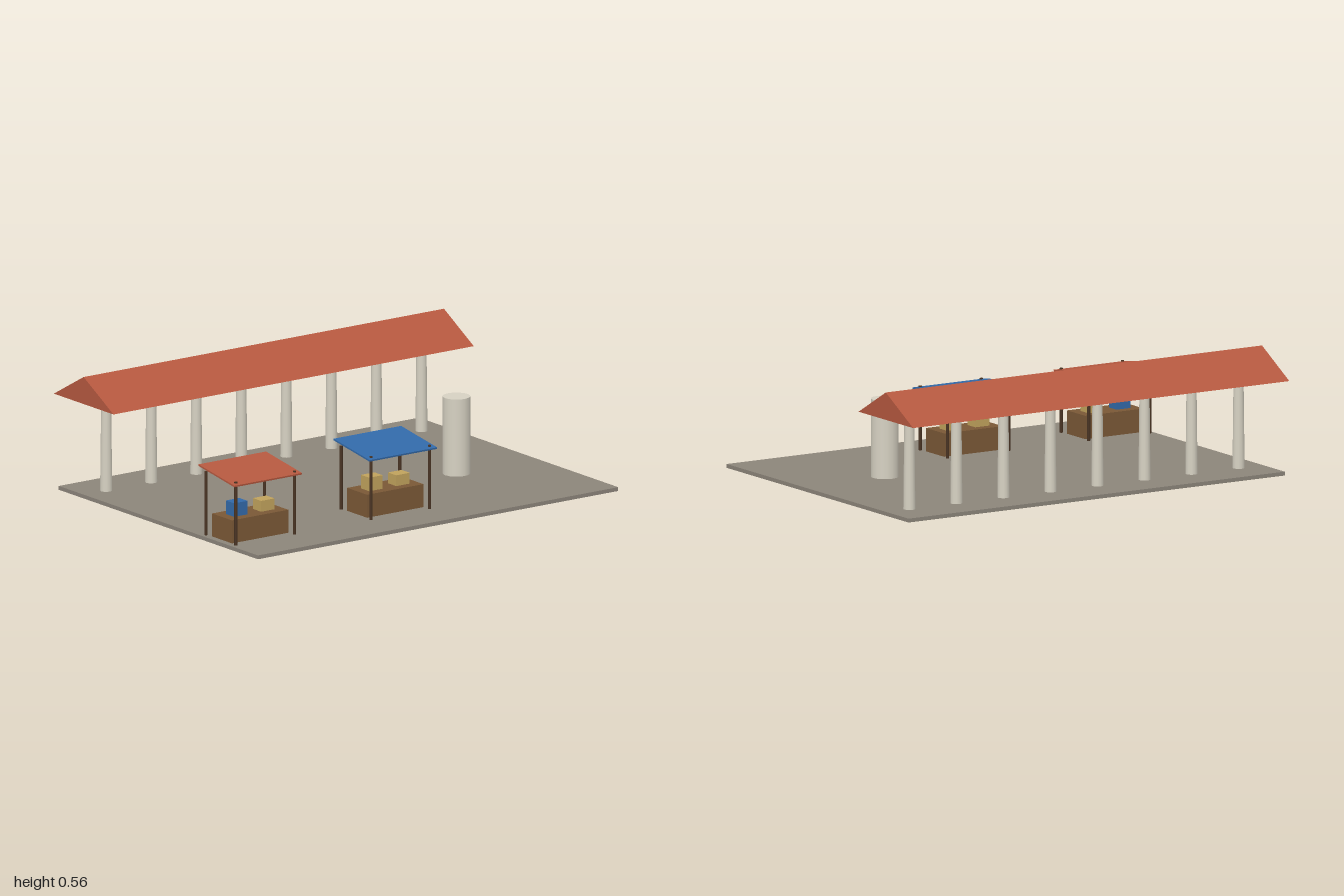
import * as THREE from 'three';

const mat = (name, color) => {
  const m = new THREE.MeshStandardMaterial({ color });
  m.name = name;
  return m;
};

export function createModel() {
  const paving = mat('paving grey', 0x8c857a);
  const stone = mat('pale stone', 0xd6d1c2);
  const terracotta = mat('terracotta', 0xb5583f);
  const blue = mat('cloth blue', 0x3269a8);
  const wood = mat('counter wood', 0x7a5836);
  const darkWood = mat('dark post wood', 0x4a3423);
  const straw = mat('crate straw', 0xc0a25c);

  const model = new THREE.Group();
  model.name = 'marketSquare';

  const add = (parent, name, geometry, material, x, y, z) => {
    const mesh = new THREE.Mesh(geometry, material);
    mesh.name = name;
    mesh.position.set(x, y, z);
    parent.add(mesh);
    return mesh;
  };
  // box standing on height y
  const box = (parent, name, w, h, d, material, x, y, z) =>
    add(parent, name, new THREE.BoxGeometry(w, h, d), material, x, y + h / 2, z);

  // paved ground, a hair above the feet of the stalls and pillar
  box(model, 'ground', 2, 0.0177, 1.5, paving, 0, 0.001, 0.02);

  // colonnade: tapered columns under a long gabled roof
  const colonnade = new THREE.Group();
  colonnade.name = 'colonnade';
  colonnade.position.z = -0.5425;
  model.add(colonnade);
  const columnGeometry = new THREE.CylinderGeometry(0.0225, 0.0275, 0.43, 12);
  for (let i = 0; i < 8; i++) {
    add(colonnade, 'column', columnGeometry, stone, -0.875 + i * 0.25, 0.2225, 0);
  }
  const gable = new THREE.Shape();
  gable.moveTo(-0.225, 0);
  gable.lineTo(0.225, 0);
  gable.lineTo(0, 0.125);
  gable.closePath();
  const roofGeometry = new THREE.ExtrudeGeometry(gable, { depth: 2, bevelEnabled: false });
  roofGeometry.rotateY(Math.PI / 2);
  add(colonnade, 'roof', roofGeometry, terracotta, -1, 0.4375, 0);

  // free-standing round pillar
  add(model, 'pillar', new THREE.CylinderGeometry(0.0625, 0.0625, 0.375, 16),
    stone, 0.5625, 0.1875, 0.145);

  // market stalls
  const postGeometry = new THREE.CylinderGeometry(0.0075, 0.0075, 0.3125, 6);
  const addStall = (name, x, canopyMaterial, tallCrateMaterial) => {
    const stall = new THREE.Group();
    stall.name = name;
    stall.position.set(x, 0, 0.4575);
    model.add(stall);
    box(stall, 'counter', 0.3125, 0.125, 0.15, wood, 0, 0, 0);
    for (const sx of [-1, 1]) {
      for (const sz of [-1, 1]) {
        add(stall, 'post', postGeometry, darkWood, sx * 0.1625, 0.15625, sz * 0.1125);
      }
    }
    const canopy = add(stall, 'canopy', new THREE.BoxGeometry(0.375, 0.0075, 0.275),
      canopyMaterial, 0, 0.32, 0);
    canopy.rotation.x = 0.15;
    box(stall, 'tallCrate', 0.075, 0.0625, 0.0625, tallCrateMaterial, -0.075, 0.125, 0);
    box(stall, 'lowCrate', 0.075, 0.05, 0.0625, straw, 0.075, 0.125, 0);
  };
  addStall('redStall', -0.8125, terracotta, blue);
  addStall('blueStall', -0.0625, blue, straw);

  return model;
}
